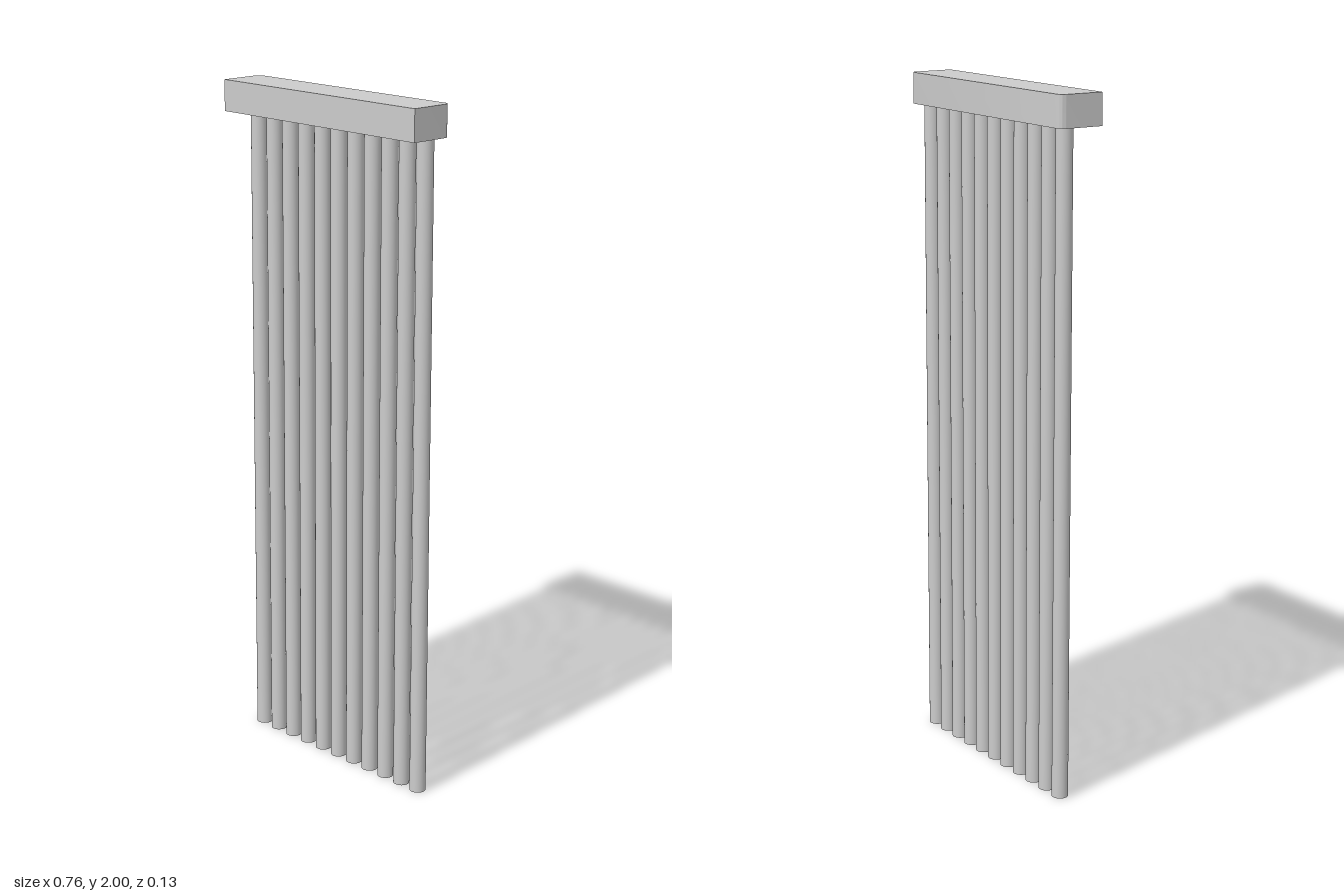
import * as THREE from 'three';
import { toCreasedNormals } from 'three/addons/utils/BufferGeometryUtils.js';

export function createModel() {
  const model = new THREE.Group();
  model.name = 'hangingTubes';
  const material = new THREE.MeshStandardMaterial({ color: 0xcccccc });

  // Top rail: plan outline with the two back corners rounded
  const w = 0.38, d = 0.067, r = 0.018, railBottom = 1.91;
  const plan = new THREE.Shape();
  plan.moveTo(-w, -d);
  plan.lineTo(w, -d);
  plan.lineTo(w, d - r);
  plan.absarc(w - r, d - r, r, 0, Math.PI / 2, false);
  plan.lineTo(-w + r, d);
  plan.absarc(-w + r, d - r, r, Math.PI / 2, Math.PI, false);
  plan.closePath();
  const railGeometry = new THREE.ExtrudeGeometry(plan, {
    depth: 2 - railBottom, bevelEnabled: false, curveSegments: 8,
  });
  railGeometry.rotateX(-Math.PI / 2);
  const rail = new THREE.Mesh(toCreasedNormals(railGeometry, Math.PI / 6), material);
  rail.name = 'topRail';
  rail.position.y = railBottom;
  model.add(rail);

  // Row of equal round tubes hanging from the rail
  const count = 11, spacing = 0.0668, rowCentre = -0.003;
  const tubeGeometry = new THREE.CylinderGeometry(0.0235, 0.0235, railBottom, 32);
  const tubes = new THREE.Group();
  tubes.name = 'tubes';
  for (let i = 0; i < count; i++) {
    const tube = new THREE.Mesh(tubeGeometry, material);
    tube.name = `tube${i + 1}`;
    tube.position.set(rowCentre + (i - (count - 1) / 2) * spacing, railBottom / 2, -0.025);
    tubes.add(tube);
  }
  model.add(tubes);

  return model;
}
